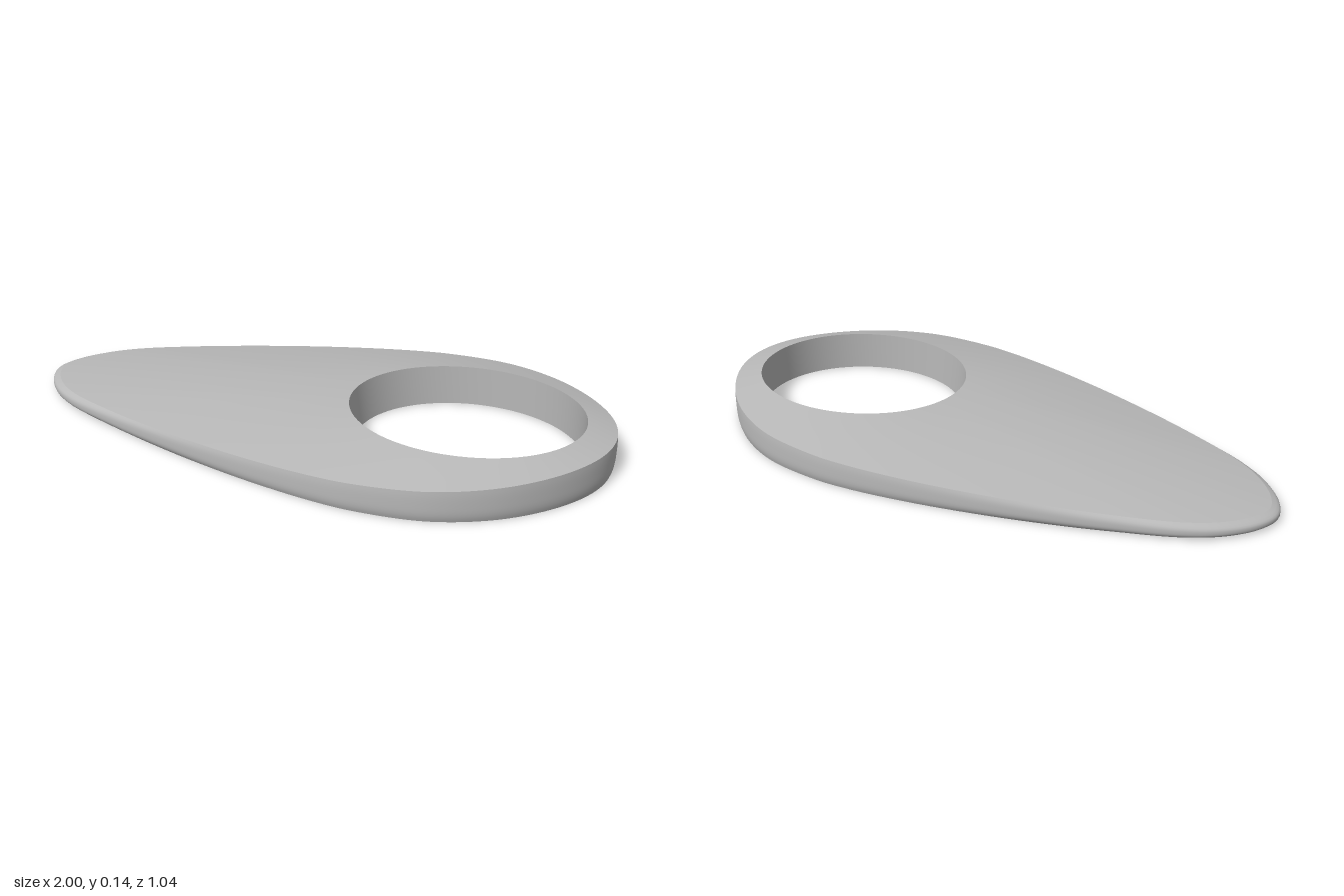
import * as THREE from 'three';

const SEGMENTS = 280;

// Half outline of the teardrop plate: [x, half width], round end to tip
const HALF = [[1, 0], [0.985, 0.1], [0.94, 0.2], [0.85, 0.315], [0.72, 0.42], [0.55, 0.495], [0.34, 0.52],
  [0.2, 0.512], [0, 0.48], [-0.2, 0.435], [-0.4, 0.38], [-0.6, 0.315], [-0.8, 0.235], [-0.9, 0.168], [-0.975, 0.078], [-1, 0]];

// Joins closed rings (each an array of Vector3) into one smooth band
function band(name, rings, material) {
  const n = rings[0].length;
  const index = [];
  for (let r = 0; r < rings.length - 1; r++) {
    for (let i = 0; i < n; i++) {
      const j = (i + 1) % n;
      const a = r * n + i, b = r * n + j, c = a + n, d = b + n;
      index.push(a, b, c, b, d, c);
    }
  }
  const geometry = new THREE.BufferGeometry().setFromPoints(rings.flat());
  geometry.setIndex(index);
  geometry.computeVertexNormals();
  const mesh = new THREE.Mesh(geometry, material);
  mesh.name = name;
  return mesh;
}

export function createModel() {
  const grey = new THREE.MeshStandardMaterial({ color: 0xb8b8b8 });
  grey.name = 'grey';

  // Full outline, mirrored across z and evenly spaced
  const mirrored = HALF.slice(1, -1).reverse().map(([x, z]) => [x, -z]);
  const curve = new THREE.CatmullRomCurve3(
    [...HALF, ...mirrored].map(([x, z]) => new THREE.Vector3(x, 0, z)), true, 'centripetal');
  curve.arcLengthDivisions = 1200;
  const outline = curve.getSpacedPoints(SEGMENTS).slice(0, SEGMENTS);
  const outward = outline.map((p, i) => {
    const t = outline[(i + 1) % SEGMENTS].clone().sub(outline[(i + SEGMENTS - 1) % SEGMENTS]);
    return new THREE.Vector3(t.z, 0, -t.x).normalize();
  });

  // Edge height rises from the tip to the round end; the wall bulges most at the tip
  const edgeHeight = (x) => 0.08 + 0.035 * x;
  const inset = (x) => 0.002 + 0.026 * ((1 - x) / 2) ** 4;
  const wallRing = (t) => outline.map((p, i) => {
    const s = 2 * t - 1;
    const amount = (inset(p.x) + (s < 0 ? 0.005 : 0)) * Math.abs(s) ** 3;
    const q = p.clone().addScaledVector(outward[i], -amount);
    q.y = edgeHeight(p.x) * t;
    return q;
  });
  const wall = [];
  for (let k = 10; k >= 0; k--) wall.push(wallRing(k / 10));

  // Oval hole, leaning slightly at its tip side
  const holeRing = (cx, rx, y) => outline.map((p) => {
    const a = Math.atan2(p.z / 0.328, (p.x - 0.535) / 0.37);
    return new THREE.Vector3(cx + rx * Math.cos(a), y, 0.328 * Math.sin(a));
  });
  const rimTop = holeRing(0.5275, 0.3775, 0.137);
  const rimBottom = holeRing(0.5375, 0.3675, 0);

  // Top slopes from the hole rim to the edge with a faint crown
  const top = [];
  for (let k = 0; k <= 12; k++) {
    const t = k / 12;
    top.push(rimTop.map((p, i) => {
      const q = p.clone().lerp(wall[0][i], t);
      q.y += 0.004 * Math.sin(Math.PI * t) * Math.min(1, p.distanceTo(wall[0][i]));
      return q;
    }));
  }

  const group = new THREE.Group();
  group.name = 'teardropPlate';
  group.add(
    band('topFace', top, grey),
    band('outerWall', wall, grey),
    band('bottomFace', [wall[wall.length - 1], rimBottom], grey),
    band('holeWall', [rimBottom, rimTop], grey),
  );
  return group;
}
